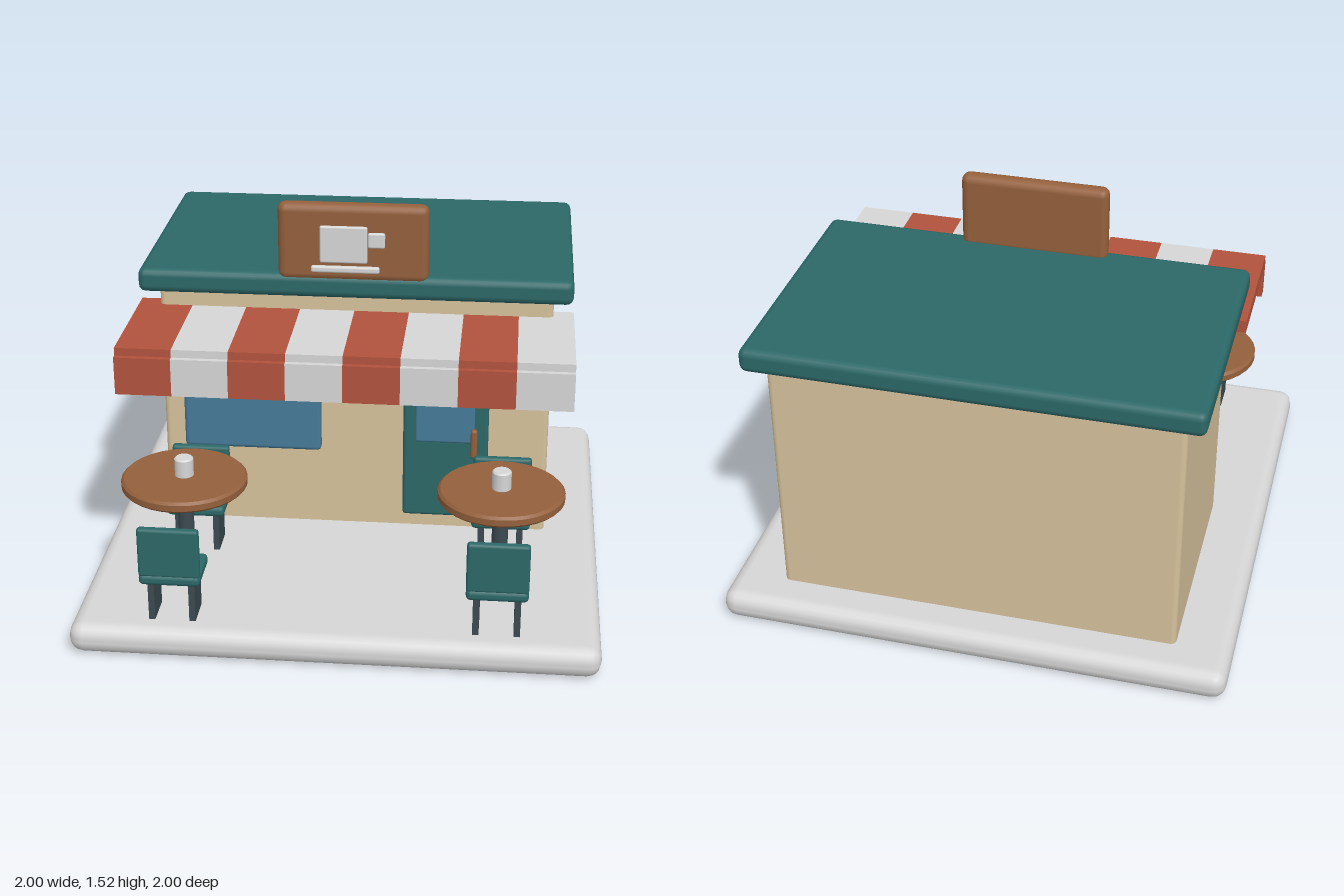
import * as THREE from 'three';
import { RoundedBoxGeometry } from 'three/addons/geometries/RoundedBoxGeometry.js';

const mat = (name, color) => {
  const m = new THREE.MeshStandardMaterial({ color });
  m.name = name;
  return m;
};

export function createModel() {
  const white = mat('white', 0xd6d6d6);
  const tan = mat('tan wall', 0xd6c29c);
  const teal = mat('teal', 0x2c6868);
  const red = mat('red', 0xb2533d);
  const wood = mat('wood', 0x94603c);
  const glass = mat('blue glass', 0x467a98);
  const dark = mat('dark metal', 0x3c4a50);

  const model = new THREE.Group();
  model.name = 'cafe';

  // Box given by its [min, max] extents; r > 0 rounds the edges
  const box = (parent, name, m, [x0, x1], [y0, y1], [z0, z1], r = 0) => {
    const s = [x1 - x0, y1 - y0, z1 - z0];
    const g = r ? new RoundedBoxGeometry(...s, 2, r) : new THREE.BoxGeometry(...s);
    const mesh = new THREE.Mesh(g, m);
    mesh.name = name;
    mesh.position.set((x0 + x1) / 2, (y0 + y1) / 2, (z0 + z1) / 2);
    parent.add(mesh);
  };

  // Upright disc or post with bevelled rims
  const round = (parent, name, m, radius, y0, y1, bevel, sides) => {
    const profile = [
      [0, y0], [radius - bevel, y0], [radius - bevel, y0], [radius, y0 + bevel], [radius, y0 + bevel],
      [radius, y1 - bevel], [radius, y1 - bevel], [radius - bevel, y1], [radius - bevel, y1], [0, y1],
    ].map(([x, y]) => new THREE.Vector2(x, y));
    // Separate bands keep the rims crisp
    for (let i = 0; i < profile.length; i += 2) {
      const mesh = new THREE.Mesh(new THREE.LatheGeometry([profile[i], profile[i + 1]], sides), m);
      mesh.name = name;
      parent.add(mesh);
    }
  };

  // Ground slab, building and roof
  box(model, 'base', white, [-1, 1], [0, 0.122], [-1, 1], 0.055);
  box(model, 'walls', tan, [-0.785, 0.785], [0.1, 1.16], [-0.85, 0.06], 0.022);
  box(model, 'roof', teal, [-0.86, 0.86], [1.137, 1.235], [-0.925, 0.122], 0.03);

  // Window and door
  box(model, 'window', glass, [-0.7, -0.137], [0.455, 0.98], [0.04, 0.09], 0.018);
  box(model, 'door', teal, [0.2, 0.545], [0.19, 1.02], [0.055, 0.107], 0.015);
  box(model, 'doorGlass', glass, [0.25, 0.49], [0.533, 0.967], [0.1, 0.128], 0.01);
  box(model, 'doorHandle', wood, [0.475, 0.502], [0.478, 0.605], [0.127, 0.155], 0.012);

  // Sign board with a cup emblem
  const sign = new THREE.Group();
  sign.name = 'sign';
  box(sign, 'signBoard', wood, [-0.298, 0.293], [1.21, 1.525], [0.053, 0.124], 0.032);
  box(sign, 'emblemCup', white, [-0.13, 0.056], [1.295, 1.445], [0.129, 0.147], 0.008);
  box(sign, 'emblemHandle', white, [0.058, 0.125], [1.36, 1.422], [0.131, 0.149], 0.008);
  box(sign, 'emblemSaucer', white, [-0.163, 0.105], [1.26, 1.287], [0.14, 0.163], 0.009);
  model.add(sign);

  // Striped awning: flat canopy with a hanging front flap
  const awning = new THREE.Group();
  awning.name = 'awning';
  const w = 0.217;
  for (let i = 0; i < 8; i++) {
    const x = [-0.87 + i * w, -0.87 + (i + 1) * w];
    const m = i % 2 ? white : red;
    box(awning, 'canopyStripe', m, x, [1.015, 1.067], [-0.005, 0.528]);
    box(awning, 'flapStripe', m, x, [0.885, 1.036], [0.5, 0.549]);
  }
  model.add(awning);

  // Chair with its back towards +z, centred on the table axis
  const makeChair = () => {
    const chair = new THREE.Group();
    chair.name = 'chair';
    box(chair, 'seat', teal, [-0.116, 0.116], [0.285, 0.33], [0.18, 0.378], 0.018);
    box(chair, 'backrest', teal, [-0.116, 0.116], [0.32, 0.52], [0.341, 0.375], 0.012);
    for (const s of [-1, 1]) {
      box(chair, 'chairLegs', dark, [s * 0.077 - 0.012, s * 0.077 + 0.012], [0.115, 0.295], [0.212, 0.342]);
    }
    return chair;
  };

  // Two table sets, each with a cup and a pair of facing chairs
  for (const x of [-0.612, 0.607]) {
    const set = new THREE.Group();
    set.name = 'tableSet';
    round(set, 'tableTop', wood, 0.243, 0.52, 0.564, 0.01, 32);
    round(set, 'tableLeg', dark, 0.031, 0.138, 0.53, 0.007, 16);
    round(set, 'cup', white, 0.037, 0.56, 0.64, 0.006, 16);
    const front = makeChair();
    const back = makeChair();
    back.rotation.y = Math.PI;
    set.add(front, back);
    set.position.set(x, 0, 0.567);
    model.add(set);
  }

  return model;
}
